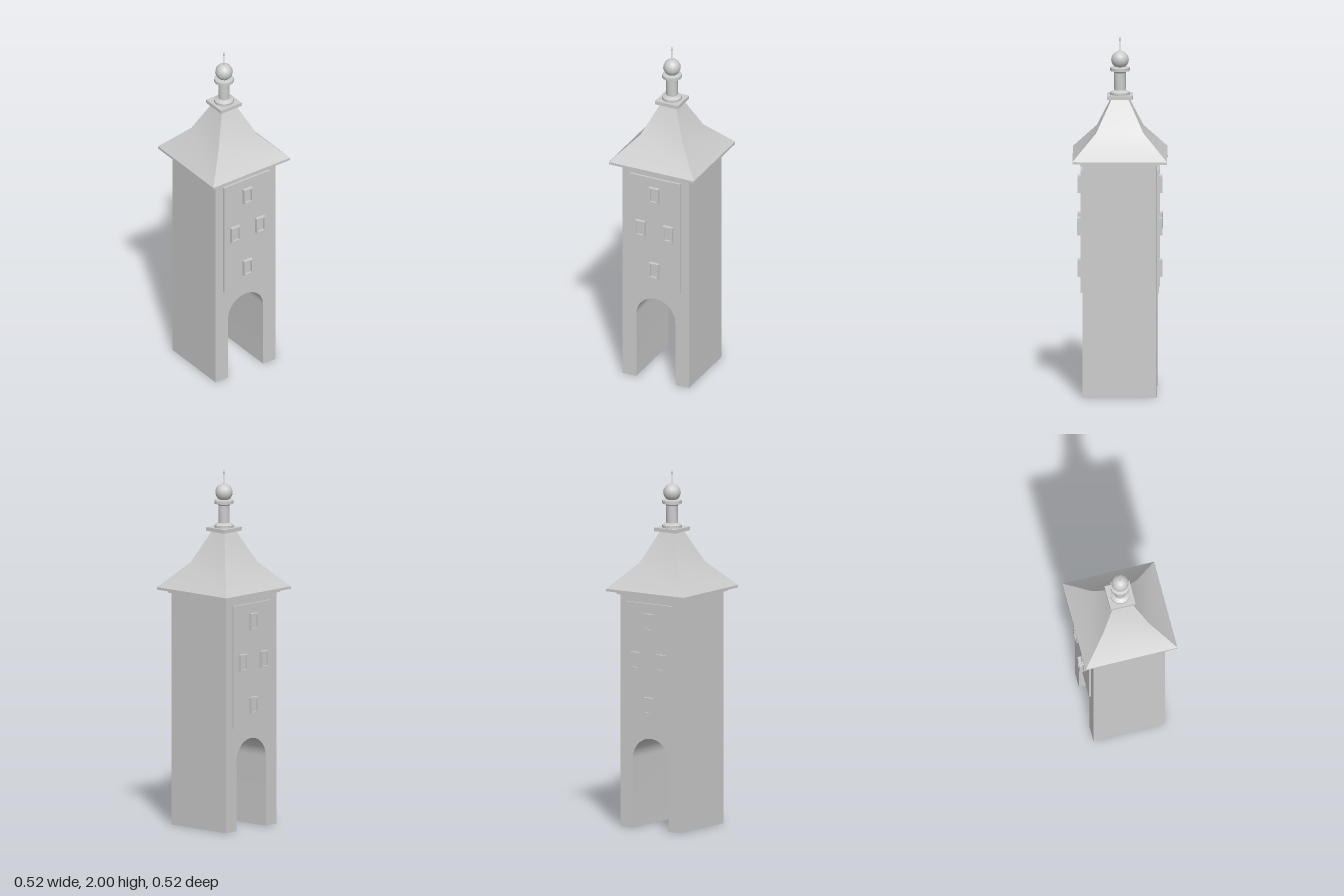
import * as THREE from 'three';
import { toCreasedNormals } from 'three/addons/utils/BufferGeometryUtils.js';

const material = new THREE.MeshStandardMaterial({ color: 0xcccccc });

function add(parent, name, geometry, x = 0, y = 0, z = 0) {
  const mesh = new THREE.Mesh(geometry, material);
  mesh.name = name;
  mesh.position.set(x, y, z);
  parent.add(mesh);
  return mesh;
}

// Square slab given by its half width and its bottom and top heights
function slab(parent, name, half, y0, y1) {
  return add(parent, name, new THREE.BoxGeometry(half * 2, y1 - y0, half * 2), 0, (y0 + y1) / 2, 0);
}

// Turned shape from [radius, height] pairs, listed bottom to top
function turned(points, segments, crease, phi = 0) {
  const profile = points.map(([r, y]) => new THREE.Vector2(r, y));
  return toCreasedNormals(new THREE.LatheGeometry(profile, segments, phi), crease);
}

function rectangle(Type, w, h) {
  return new Type([
    new THREE.Vector2(-w, -h), new THREE.Vector2(w, -h),
    new THREE.Vector2(w, h), new THREE.Vector2(-w, h),
  ]);
}

function createWindow(x, y) {
  const group = new THREE.Group();
  group.name = 'window';
  group.position.set(x, y, 0.215);
  const frame = rectangle(THREE.Shape, 0.03, 0.047);
  frame.holes.push(rectangle(THREE.Path, 0.02, 0.037));
  add(group, 'windowFrame', new THREE.ExtrudeGeometry(frame, { depth: 0.021, bevelEnabled: false }));
  add(group, 'windowPane', new THREE.BoxGeometry(0.042, 0.076, 0.01), 0, 0, 0.005);
  return group;
}

// Raised wall panel with its four windows
function createFacade(name) {
  const group = new THREE.Group();
  group.name = name;
  add(group, 'wallPanel', new THREE.BoxGeometry(0.31, 0.69, 0.02), 0, 0.925, 0.207);
  for (const [x, y] of [[0, 1.168], [-0.085, 0.946], [0.085, 0.946], [0, 0.697]]) {
    group.add(createWindow(x, y));
  }
  return group;
}

export function createModel() {
  const model = new THREE.Group();
  model.name = 'gateTower';

  // Tower body with an arched passage running front to back
  const half = 0.205, arch = 0.12, spring = 0.39;
  const wall = new THREE.Shape();
  wall.moveTo(-half, 0);
  wall.lineTo(-arch, 0);
  wall.lineTo(-arch, spring);
  wall.absarc(0, spring, arch, Math.PI, 0, true);
  wall.lineTo(arch, 0);
  wall.lineTo(half, 0);
  wall.lineTo(half, 1.31);
  wall.lineTo(-half, 1.31);
  const body = new THREE.ExtrudeGeometry(wall, { depth: half * 2, bevelEnabled: false, curveSegments: 16 });
  body.translate(0, 0, -half);
  add(model, 'towerBody', toCreasedNormals(body, 0.6));

  // Matching facades
  model.add(createFacade('frontFacade'));
  const back = createFacade('backFacade');
  back.rotation.y = Math.PI;
  model.add(back);

  // Cornice and eaves
  slab(model, 'cornice', 0.22, 1.305, 1.323);
  slab(model, 'eaves', 0.262, 1.322, 1.336);

  // Square roof with a flared lower slope
  const roof = [[0.262, 1.336], [0.13, 1.477], [0.045, 1.655]].map(([r, y]) => [r * Math.SQRT2, y]);
  add(model, 'roof', turned(roof, 4, 0.8, Math.PI / 4));
  slab(model, 'roofCap', 0.071, 1.652, 1.672);

  // Column with stepped base and collar
  const column = [
    [0, 1.67], [0.055, 1.67], [0.055, 1.686], [0.042, 1.693], [0.032, 1.698], [0.032, 1.795],
    [0.04, 1.806], [0.055, 1.806], [0.055, 1.824], [0.035, 1.829], [0, 1.829],
  ];
  add(model, 'finialColumn', turned(column, 12, 0.6));

  // Ball and pointed spike
  add(model, 'finialBall', new THREE.SphereGeometry(0.049, 12, 12), 0, 1.868, 0);
  const spike = [[0.007, 1.91], [0.003, 1.922], [0.003, 1.972], [0.006, 1.974], [0, 2]];
  add(model, 'spike', turned(spike, 8, 0.6));

  return model;
}
